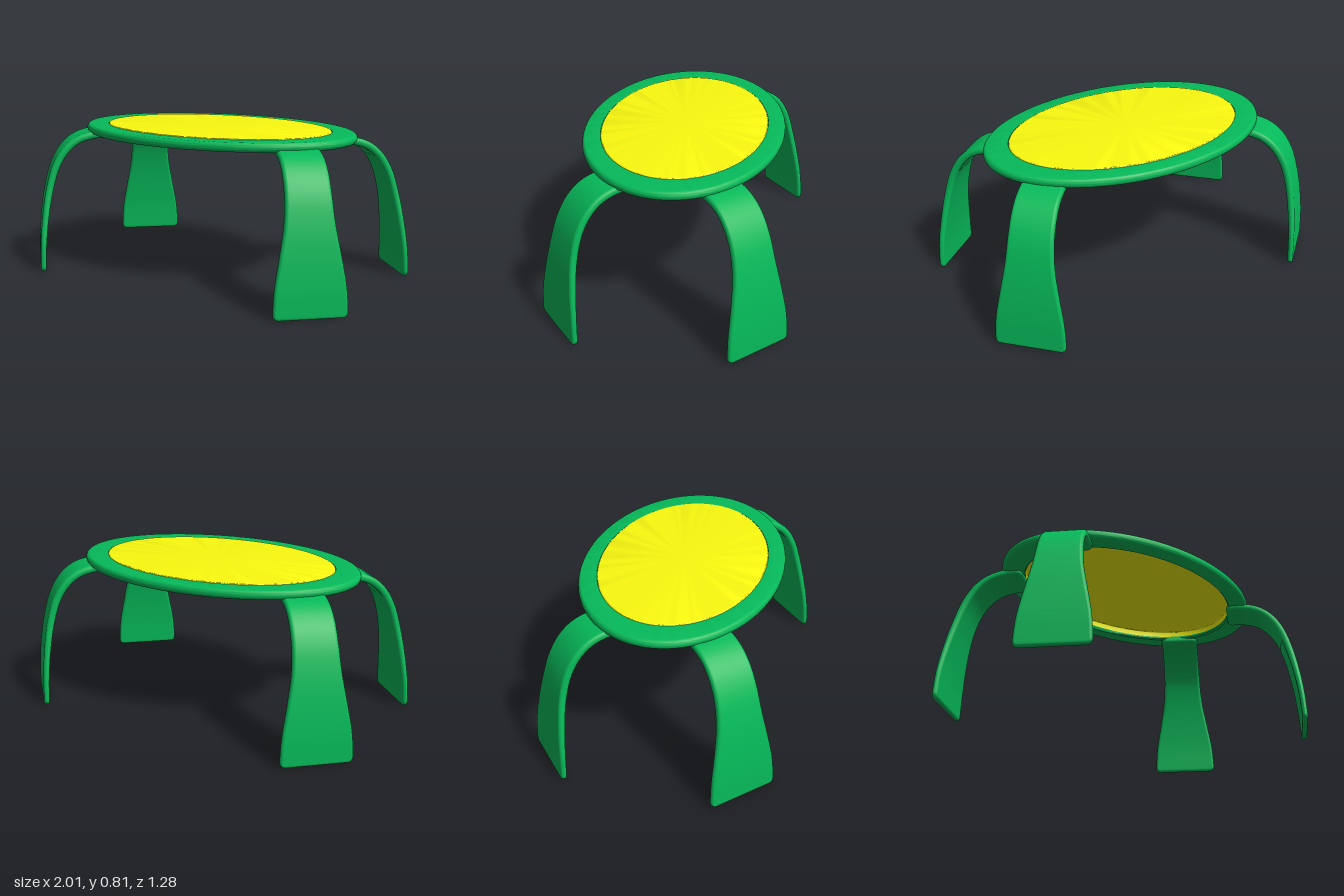
import * as THREE from 'three';
import { toCreasedNormals } from 'three/addons/utils/BufferGeometryUtils.js';

const green = new THREE.MeshStandardMaterial({ color: 0x06ba5a });
const yellow = new THREE.MeshStandardMaterial({ color: 0xfafa10, side: THREE.DoubleSide });

// Profile of [radius, height] points turned round y and squashed to an oval
function ovalLathe(points) {
  const geo = new THREE.LatheGeometry(points.map(([r, y]) => new THREE.Vector2(r, y)), 120);
  geo.scale(1, 1, 0.667);
  return toCreasedNormals(geo, 0.6);
}

// Flat ring with a half-round outer edge
function rimGeometry() {
  const y0 = 0.753, y1 = 0.801, r = (y1 - y0) / 2, outer = 0.805;
  const profile = [[0.667, 0.761], [0.675, y0]];
  for (let i = 0; i <= 12; i++) {
    const a = -Math.PI / 2 + Math.PI * i / 12;
    profile.push([outer - r + r * Math.cos(a), (y0 + y1) / 2 + r * Math.sin(a)]);
  }
  profile.push([0.667, y1], [0.667, 0.761]);
  return ovalLathe(profile);
}

// Thin cap with a rolled-down edge, open underneath
function panelGeometry() {
  const r = 0.008, outer = 0.666, top = 0.805;
  const profile = [[outer, 0.772]];
  for (let i = 0; i <= 6; i++) {
    const a = Math.PI / 2 * i / 6;
    profile.push([outer - r + r * Math.cos(a), top - r + r * Math.sin(a)]);
  }
  profile.push([outer - r - 0.004, top], [0, top]);
  return ovalLathe(profile);
}

// Rounded rectangle of half sizes a and b, as a closed ring of points
function ring(a, b, r) {
  const pts = [];
  [[1, 1], [-1, 1], [-1, -1], [1, -1]].forEach(([sx, sy], k) => {
    for (let i = 0; i <= 4; i++) {
      const t = (k + i / 4) * Math.PI / 2;
      pts.push([sx * (a - r) + r * Math.cos(t), sy * (b - r) + r * Math.sin(t)]);
    }
  });
  return pts;
}

// How far a rounded end pulls its side in, at distance d from the end
const pull = (d, r) => (d >= r ? 0 : r - Math.sqrt(r * r - (r - d) ** 2));

// Arched blade: starts flat under the top, bends down and flares to the foot
function legGeometry() {
  // Each station: outward distance, height, width, half thickness
  const stations = [
    [-0.03, 0.752, 0.225, 0.019], [0.07, 0.748, 0.222, 0.021], [0.155, 0.722, 0.223, 0.021],
    [0.222, 0.668, 0.226, 0.021], [0.277, 0.58, 0.23, 0.021], [0.318, 0.45, 0.25, 0.02],
    [0.346, 0.3, 0.302, 0.018], [0.363, 0.15, 0.353, 0.016], [0.37, 0, 0.372, 0.015],
  ];
  const path = new THREE.CatmullRomCurve3(stations.map(([s, y]) => new THREE.Vector3(0, y, s)));
  const sizes = new THREE.CatmullRomCurve3(stations.map(([, , w, t], i) => new THREE.Vector3(w, i, t)));
  const length = path.getLength();
  const near = [0, 0.001, 0.004, 0.009, 0.015, 0.022, 0.03];
  const dist = [...near];
  for (let i = 1; i < 40; i++) dist.push(0.03 + (length - 0.06) * i / 40);
  dist.push(...near.map((d) => length - d).reverse());

  const pos = [], idx = [];
  let n = 0;
  dist.forEach((d) => {
    const u = Math.min(1, Math.max(0, d / length));
    const c = path.getPointAt(u), t = path.getTangentAt(u);
    const size = sizes.getPoint(path.getUtoTmapping(u));
    const e = Math.max(0, Math.min(d, length - d));
    const a = size.x / 2 - pull(e, 0.03);
    const b = size.z - pull(e, 0.013);
    const section = ring(a, b, Math.min(0.018, b));
    n = section.length;
    // Width runs along x, thickness along the normal of the path
    section.forEach(([p, q]) => pos.push(p, c.y + q * t.z, c.z - q * t.y));
  });
  const rows = dist.length;
  for (let i = 0; i < rows - 1; i++) {
    for (let j = 0; j < n; j++) {
      const k = (j + 1) % n, A = i * n, B = A + n;
      idx.push(A + j, A + k, B + j, A + k, B + k, B + j);
    }
  }
  // End caps
  const last = (rows - 1) * n;
  for (let j = 1; j < n - 1; j++) {
    idx.push(0, j + 1, j);
    idx.push(last, last + j, last + j + 1);
  }
  const geo = new THREE.BufferGeometry();
  geo.setAttribute('position', new THREE.Float32BufferAttribute(pos, 3));
  geo.setIndex(idx);
  geo.computeVertexNormals();
  return geo;
}

export function createModel() {
  const table = new THREE.Group();
  table.name = 'table';
  const add = (name, geo, mat) => {
    const mesh = new THREE.Mesh(geo, mat);
    mesh.name = name;
    table.add(mesh);
    return mesh;
  };

  // Oval top: green rim around a yellow panel
  add('rim', rimGeometry(), green);
  add('panel', panelGeometry(), yellow);

  // Two leg directions, each repeated half a turn around
  const leg = legGeometry();
  const legs = [
    ['frontLeftLeg', 0.6, 0.235, 0.65, 0.76, 1], ['backRightLeg', 0.6, 0.235, 0.65, 0.76, -1],
    ['frontRightLeg', -0.605, 0.235, -0.725, 0.69, 1], ['backLeftLeg', -0.605, 0.235, -0.725, 0.69, -1],
  ];
  legs.forEach(([name, x, z, dx, dz, s]) => {
    const mesh = add(name, leg, green);
    mesh.position.set(s * x, 0, s * z);
    mesh.rotation.y = Math.atan2(s * dx, s * dz);
  });
  return table;
}
